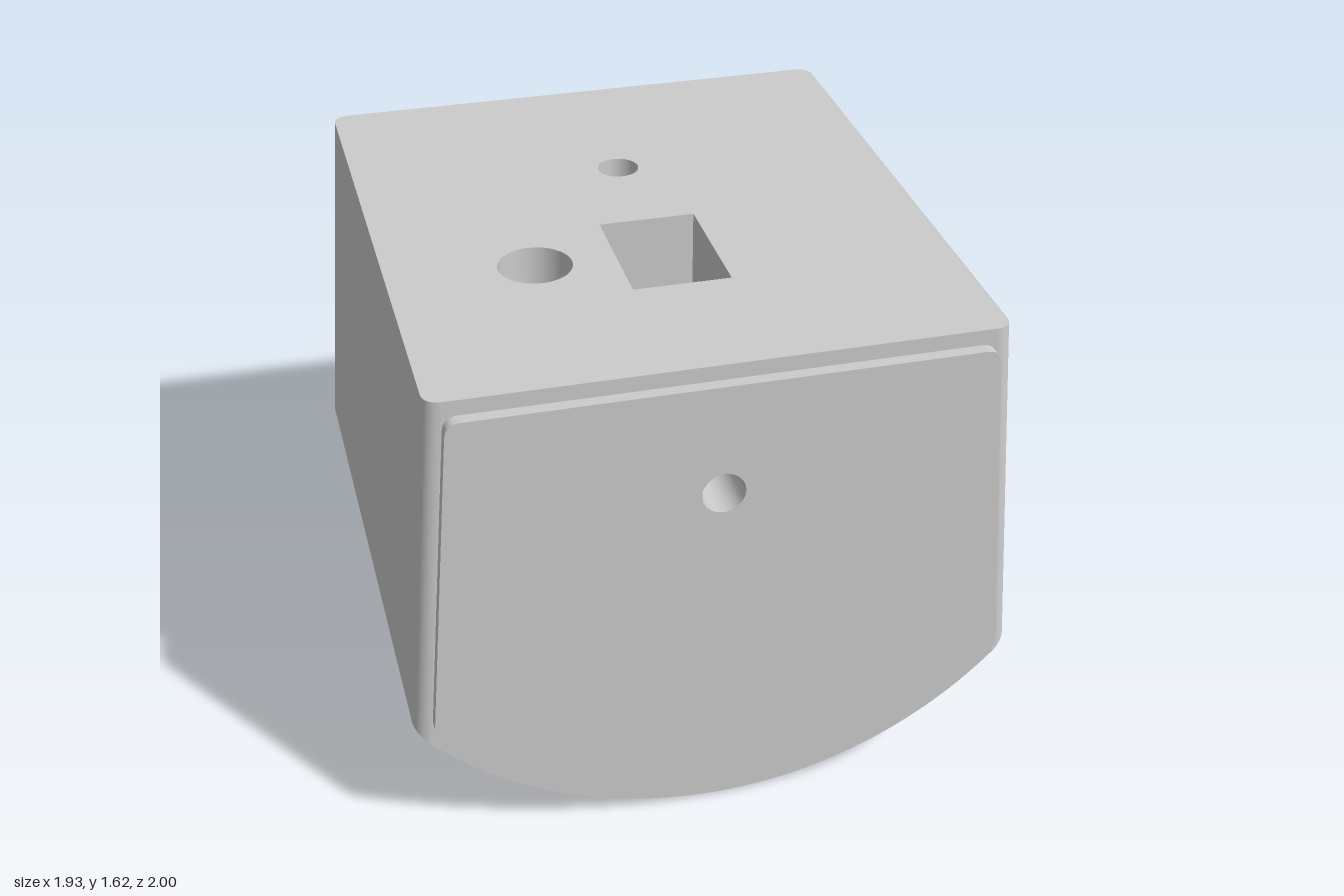
import * as THREE from 'three';
import { toCreasedNormals, mergeGeometries } from 'three/addons/utils/BufferGeometryUtils.js';

const TOP = 1.625, FRONT = 0.96, BACK = -1;
const ARC_Y = 1.255, ARC_R = 1.255; // centre height and radius of the curved underside
const ROUND = 0.05; // radius of the upright edges
const CREASE = 0.5;

const solid = new THREE.MeshStandardMaterial({ color: 0xcccccc });
const open = new THREE.MeshStandardMaterial({ color: 0xcccccc, side: THREE.DoubleSide });

function add(group, name, geometry, material = solid) {
  const mesh = new THREE.Mesh(geometry, material);
  mesh.name = name;
  group.add(mesh);
  return mesh;
}

// Half width of the tapering sides at height y, moved inwards by d
const halfWidth = (y, d) => 0.967 - d - (y - 0.455) * 0.0786;

// Outline from the top of the +x side, round the underside, to the top of the -x side
function section(d, top = TOP, radius = ARC_R, segments = 56) {
  let y = 0.455;
  for (let i = 0; i < 12; i++) y = ARC_Y - Math.sqrt(radius ** 2 - halfWidth(y, d) ** 2);
  const a = Math.asin(halfWidth(y, d) / radius);
  const points = [new THREE.Vector2(halfWidth(top, d), top)];
  for (let i = 0; i <= segments; i++) {
    const t = a * (1 - (2 * i) / segments);
    points.push(new THREE.Vector2(radius * Math.sin(t), ARC_Y - radius * Math.cos(t)));
  }
  points.push(new THREE.Vector2(-halfWidth(top, d), top));
  return points;
}

// Stations along z with the inset that rounds both ends
function stations() {
  const list = [], n = 8;
  for (let i = 0; i <= n; i++) {
    const a = (i / n) * Math.PI / 2;
    list.push({ z: BACK + ROUND * (1 - Math.cos(a)), d: ROUND * (1 - Math.sin(a)) });
  }
  const front = list.map(({ z, d }) => ({ z: FRONT - (z - BACK), d })).reverse();
  return [...list, ...front];
}

// Sides and underside, lofted through the stations
function shellGeometry(list) {
  const position = [], index = [];
  const rows = list.map(({ d }) => section(d));
  const n = rows[0].length;
  rows.forEach((row, i) => row.forEach((p) => position.push(p.x, p.y, list[i].z)));
  for (let i = 0; i < rows.length - 1; i++) {
    for (let j = 0; j < n - 1; j++) {
      const a = i * n + j, b = a + 1, c = a + n, e = c + 1;
      index.push(a, c, b, b, c, e);
    }
  }
  const g = new THREE.BufferGeometry();
  g.setAttribute('position', new THREE.Float32BufferAttribute(position, 3));
  g.setIndex(index);
  return toCreasedNormals(g, CREASE);
}

function circle(x, y, r) {
  return new THREE.Path().absarc(x, y, r, 0, Math.PI * 2, true);
}

function rectangle(x, y, w, h) {
  return [[-1, -1], [-1, 1], [1, 1], [1, -1]]
    .map(([i, j]) => new THREE.Vector2(x + i * w / 2, y + j * h / 2));
}

// Turned hole; profile is [radius, height below the mouth]
function turned(profile) {
  const points = profile.map(([r, y]) => new THREE.Vector2(r, y));
  return toCreasedNormals(new THREE.LatheGeometry(points, 40), CREASE);
}

// Panel outline with softened corners
function panelShape() {
  const p = section(0.055, 1.575, 1.2, 64);
  const corners = new Map([[0, 0.045], [1, 0.022], [p.length - 2, 0.022], [p.length - 1, 0.045]]);
  const shape = new THREE.Shape();
  p.forEach((c, i) => {
    const r = corners.get(i);
    if (!r) return shape.lineTo(c.x, c.y);
    const towards = (q) => c.clone().add(q.clone().sub(c).setLength(Math.min(r, c.distanceTo(q) * 0.8)));
    const from = towards(p[(i + p.length - 1) % p.length]);
    const to = towards(p[(i + 1) % p.length]);
    if (i === 0) shape.moveTo(from.x, from.y);
    else shape.lineTo(from.x, from.y);
    shape.quadraticCurveTo(c.x, c.y, to.x, to.y);
  });
  shape.closePath();
  return shape;
}

export function createModel() {
  const model = new THREE.Group();
  model.name = 'housing';
  const list = stations();

  // Body: lofted shell, back, front and top
  const back = new THREE.ShapeGeometry(new THREE.Shape(section(ROUND)));
  back.rotateY(Math.PI).translate(0, 0, BACK);

  const frontShape = new THREE.Shape(section(ROUND));
  frontShape.holes.push(circle(0, 1.18, 0.068));
  const front = new THREE.ShapeGeometry(frontShape, 40);
  front.translate(0, 0, FRONT);

  const edge = list.map(({ z, d }) => new THREE.Vector2(halfWidth(TOP, d), -z));
  const mirrored = edge.map((p) => new THREE.Vector2(-p.x, p.y)).reverse();
  const topShape = new THREE.Shape([...edge, ...mirrored]);
  topShape.holes.push(
    circle(0, 0.36, 0.068),
    circle(-0.41, -0.245, 0.117),
    new THREE.Path(rectangle(0, -0.25, 0.31, 0.44)),
  );
  const top = new THREE.ShapeGeometry(topShape, 40);
  top.rotateX(-Math.PI / 2).translate(0, TOP, 0);

  const caps = mergeGeometries([back, front, top].map((g) => g.toNonIndexed()));
  add(model, 'bodyShell', shellGeometry(list));
  add(model, 'bodyFaces', caps);

  // Front panel with a round recess
  const shape = panelShape();
  shape.holes.push(circle(0, 1.18, 0.145));
  const panel = new THREE.ExtrudeGeometry(shape, { depth: 0.04, bevelEnabled: false, curveSegments: 40 });
  add(model, 'frontPanel', toCreasedNormals(panel, CREASE)).position.z = FRONT;

  // Drilled holes with pointed ends, in the front and in the top
  const drilled = turned([[0, -0.29], [0.068, -0.25], [0.068, 0]]);
  const frontHole = add(model, 'frontHole', drilled, open);
  frontHole.rotation.x = Math.PI / 2;
  frontHole.position.set(0, 1.18, FRONT);
  add(model, 'topHole', drilled, open).position.set(0, TOP, -0.36);

  // Round socket with a stepped floor and a centre pin
  const socket = new THREE.Group();
  socket.name = 'roundSocket';
  socket.position.set(-0.41, TOP, 0.245);
  add(socket, 'socketWall', turned([
    [0, -0.62], [0.072, -0.62], [0.072, -0.46], [0.085, -0.45], [0.117, -0.45], [0.117, 0],
  ]), open);
  add(socket, 'socketPin', turned([
    [0.028, -0.62], [0.028, -0.49], [0.024, -0.475], [0.014, -0.465], [0, -0.462],
  ]));
  model.add(socket);

  // Rectangular well with a small connector on its floor
  const well = new THREE.Group();
  well.name = 'rectangularWell';
  well.position.set(0, TOP, 0.25);
  const depth = 0.5;
  const walls = new THREE.CylinderGeometry(Math.SQRT1_2, Math.SQRT1_2, depth, 4, 1, true);
  walls.rotateY(Math.PI / 4).scale(0.31, 1, 0.44).translate(0, -depth / 2, 0);
  add(well, 'wellWalls', toCreasedNormals(walls, CREASE), open);
  const floor = new THREE.PlaneGeometry(0.31, 0.44);
  floor.rotateX(-Math.PI / 2).translate(0, -depth, 0);
  add(well, 'wellFloor', floor, open);
  const outline = [[-0.095, -0.025], [0.095, -0.025], [0.095, 0], [0.07, 0.03], [-0.07, 0.03], [-0.095, 0]];
  const plug = new THREE.ExtrudeGeometry(
    new THREE.Shape(outline.map(([x, y]) => new THREE.Vector2(x, y))),
    { depth: 0.06, bevelEnabled: false },
  );
  plug.rotateX(-Math.PI / 2).translate(0, -depth, 0);
  add(well, 'connector', plug);
  model.add(well);

  return model;
}
